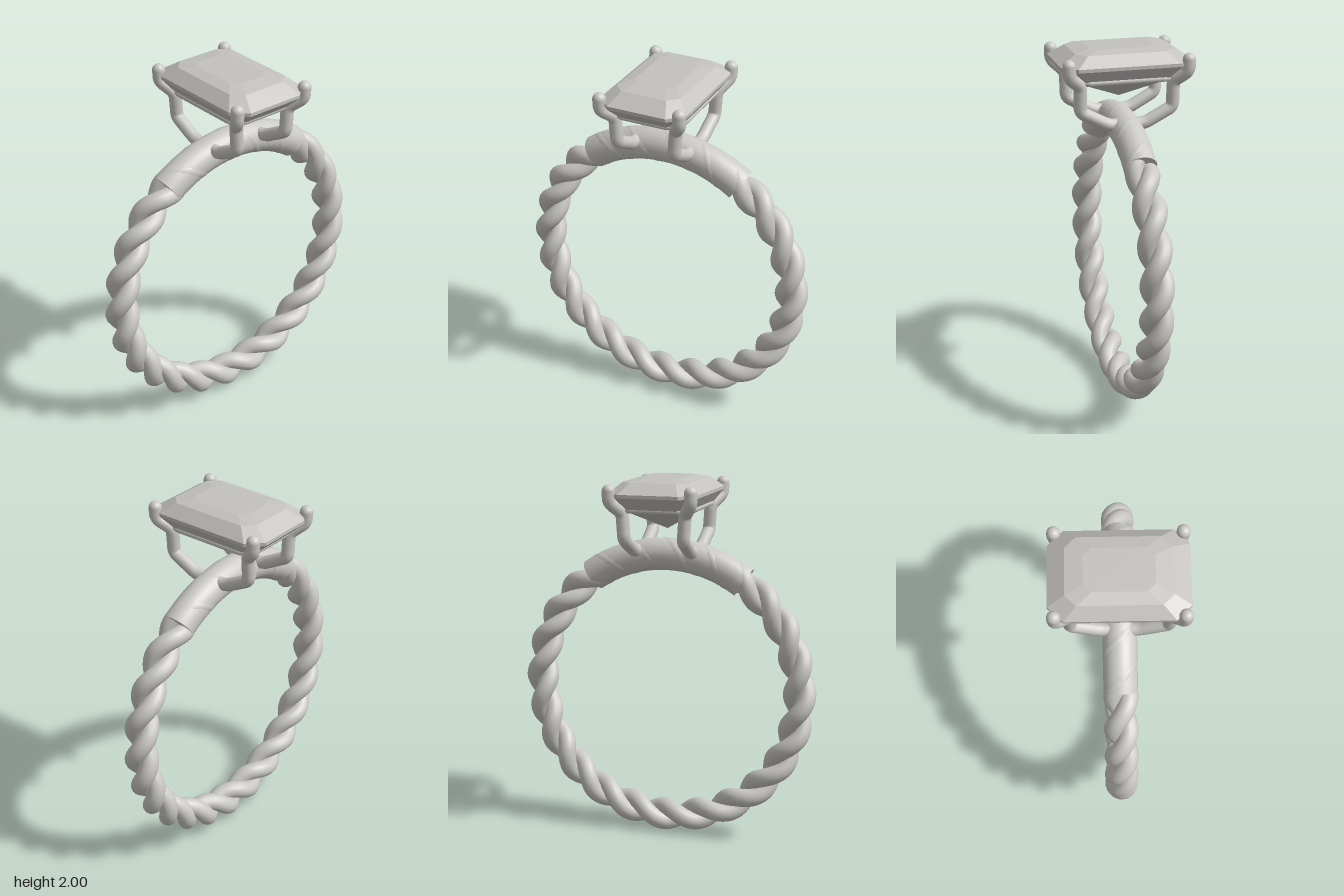
import * as THREE from 'three';

const R = 0.745, CY = 0.835; // ring centre-line radius and height

const metal = new THREE.MeshStandardMaterial({ color: 0xcbc9c5 });
metal.name = 'polished metal';
const stone = new THREE.MeshStandardMaterial({ color: 0xc4c2bf });
stone.name = 'pale stone';

// One strand of the rope, winding twelve times round the ring
class StrandCurve extends THREE.Curve {
  constructor(phase) {
    super();
    this.phase = phase;
  }
  getPoint(u, target = new THREE.Vector3()) {
    const t = u * Math.PI * 2, p = 12 * t + this.phase, r = R + 0.04 * Math.cos(p);
    return target.set(r * Math.cos(t), CY + r * Math.sin(t), -0.04 * Math.sin(p));
  }
}

// Straight segments joined by rounded bends
function bentPath(points, bend, closed = false) {
  const pts = points.map((p) => new THREE.Vector3(...p));
  const n = pts.length, path = new THREE.CurvePath();
  const toward = (a, b) => a.clone().add(b.clone().sub(a).setLength(bend));
  let last = closed ? toward(pts[0], pts[1]) : pts[0];
  const first = last;
  for (let k = 1; k < (closed ? n + 1 : n - 1); k++) {
    const c = pts[k % n], enter = toward(c, pts[k - 1]), leave = toward(c, pts[(k + 1) % n]);
    path.add(new THREE.LineCurve3(last, enter));
    path.add(new THREE.QuadraticBezierCurve3(enter, c, leave));
    last = leave;
  }
  if (!closed) path.add(new THREE.LineCurve3(last, pts[n - 1]));
  else path.curves[path.curves.length - 1].v2 = first.clone();
  return path;
}

// Rectangle with cut corners, at height y
function octagon(x, z, cut, y) {
  return [
    [x, y, z - cut], [x, y, cut - z], [x - cut, y, -z], [cut - x, y, -z],
    [-x, y, cut - z], [-x, y, z - cut], [cut - x, y, z], [x - cut, y, z],
  ];
}

// Faceted stone lofted from octagons, top to bottom
function gemGeometry() {
  const rings = [
    octagon(0.115, 0.175, 0.04, 2.0),
    octagon(0.18, 0.265, 0.055, 1.985),
    octagon(0.24, 0.352, 0.078, 1.93),
    octagon(0.24, 0.352, 0.078, 1.912),
    octagon(0.185, 0.27, 0.06, 1.835),
  ];
  const pos = [];
  const tri = (a, b, c) => pos.push(...a, ...b, ...c);
  for (let i = 0; i < 8; i++) {
    const j = (i + 1) % 8;
    tri([0, 2.0, 0], rings[0][i], rings[0][j]);
    for (let k = 0; k < rings.length - 1; k++) {
      const a = rings[k], b = rings[k + 1];
      tri(a[i], b[i], b[j]);
      tri(a[i], b[j], a[j]);
    }
    const low = rings[rings.length - 1];
    tri(low[i], [0, 1.72, 0], low[j]);
  }
  const geo = new THREE.BufferGeometry();
  geo.setAttribute('position', new THREE.Float32BufferAttribute(pos, 3));
  geo.computeVertexNormals();
  return geo;
}

export function createModel() {
  const group = new THREE.Group();
  const add = (name, geo, material = metal, parent = group) => {
    const mesh = new THREE.Mesh(geo, material);
    mesh.name = name;
    parent.add(mesh);
    return mesh;
  };

  // Twisted rope shank
  [0, Math.PI].forEach((phase, i) =>
    add('ropeStrand' + (i + 1), new THREE.TubeGeometry(new StrandCurve(phase), 480, 0.05, 16, true)));

  // Smooth band across the top, with flat ends
  const half = THREE.MathUtils.degToRad(35);
  const band = add('topBand', new THREE.TorusGeometry(R, 0.088, 28, 60, half * 2));
  band.position.y = CY;
  band.rotation.z = Math.PI / 2 - half;
  for (const s of [-1, 1]) {
    const a = Math.PI / 2 + s * half;
    const cap = add('bandEnd', new THREE.CircleGeometry(0.088, 28));
    cap.position.set(R * Math.cos(a), CY + R * Math.sin(a), 0);
    cap.lookAt(cap.position.x - s * Math.sin(a), cap.position.y + s * Math.cos(a), 0);
  }

  // Four bent prongs with rounded tips
  for (const sx of [-1, 1]) for (const sz of [-1, 1]) {
    const prong = new THREE.Group();
    prong.name = 'prong';
    group.add(prong);
    const points = [
      [0.155, 1.6, 0.03], [0.157, 1.605, 0.1], [0.163, 1.685, 0.25],
      [0.172, 1.825, 0.25], [0.222, 1.885, 0.318], [0.222, 1.945, 0.32],
    ].map(([x, y, z]) => [x * sx, y, z * sz]);
    add('prongWire', new THREE.TubeGeometry(bentPath(points, 0.028), 70, 0.035, 14), metal, prong);
    add('prongTip', new THREE.SphereGeometry(0.035, 16, 12), metal, prong)
      .position.set(...points[points.length - 1]);
  }

  // Thin rail joining the prongs under the stone
  const rail = octagon(0.185, 0.265, 0.05, 1.842);
  add('galleryRail', new THREE.TubeGeometry(bentPath(rail, 0.02, true), 160, 0.017, 10, true));

  add('gemstone', gemGeometry(), stone);
  return group;
}
